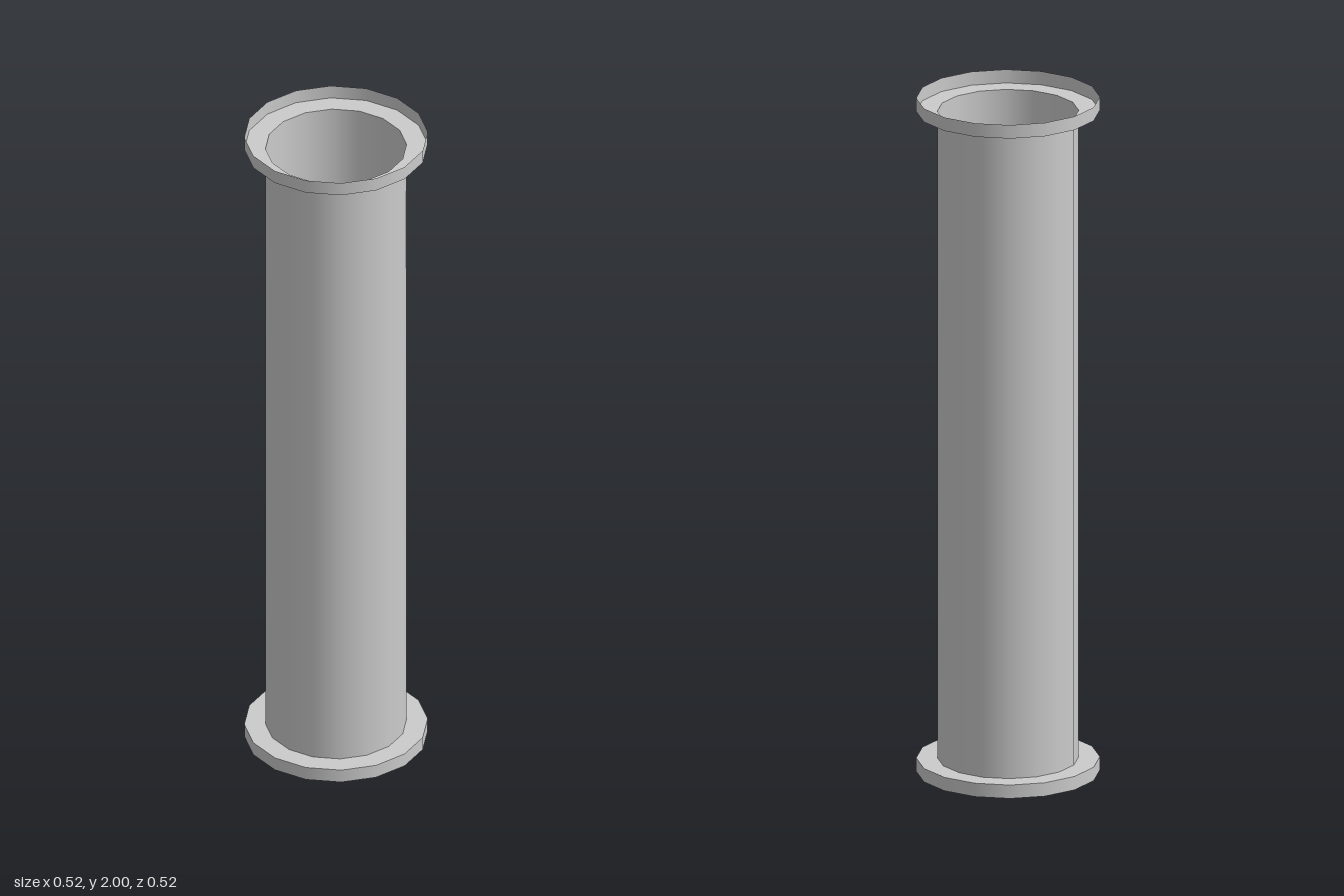
import * as THREE from 'three';

const SIDES = 16, HEIGHT = 2, LIP = 0.04, BORE = 0.2, OUTER = 0.26;

export function createModel() {
  const model = new THREE.Group();
  const material = new THREE.MeshStandardMaterial({ color: 0xcccccc, side: THREE.DoubleSide });

  const add = (parent, name, geometry, y) => {
    const mesh = new THREE.Mesh(geometry, material);
    mesh.name = name;
    mesh.position.y = y;
    parent.add(mesh);
  };
  const openTube = (radius, height) =>
    new THREE.CylinderGeometry(radius, radius, height, SIDES, 1, true);

  // Thin-walled pipe between the two collar plates
  add(model, 'pipe', openTube(BORE, HEIGHT - 2 * LIP), HEIGHT / 2);

  // Each collar is a flat ring on the pipe end with a lip standing outward
  for (const [name, end] of [['topCollar', 1], ['bottomCollar', -1]]) {
    const collar = new THREE.Group();
    collar.name = name;
    collar.position.y = HEIGHT / 2 + end * (HEIGHT / 2 - LIP);
    const plate = new THREE.RingGeometry(BORE, OUTER, SIDES).rotateX(-end * Math.PI / 2);
    add(collar, 'collarPlate', plate, 0);
    add(collar, 'collarLip', openTube(OUTER, LIP), end * LIP / 2);
    model.add(collar);
  }
  return model;
}
